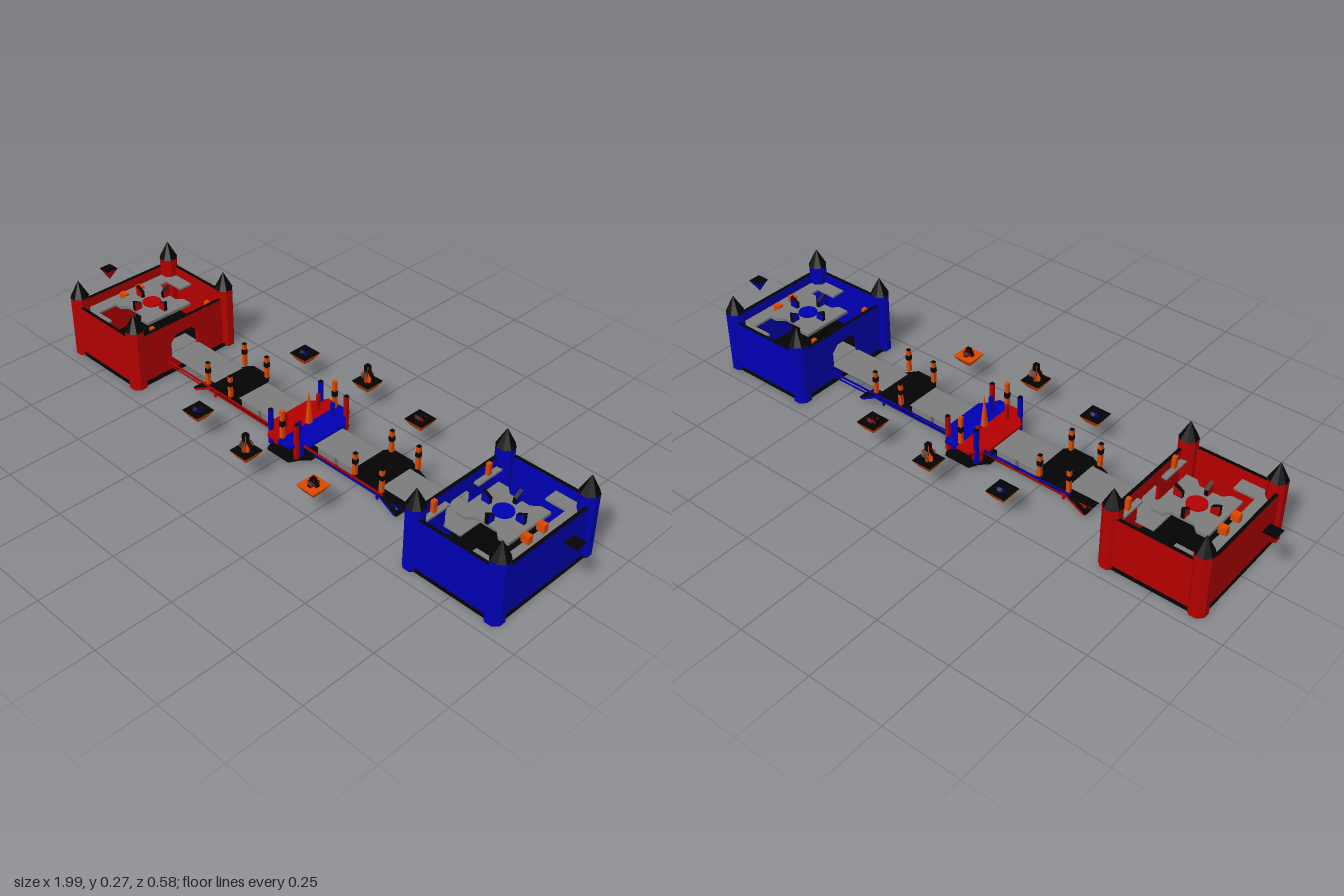
import * as THREE from 'three';

const mat = (name, color, side = THREE.FrontSide) => {
  const m = new THREE.MeshStandardMaterial({ color, side });
  m.name = name;
  return m;
};

export function createModel() {
  const red = mat('red', 0xb40000), blue = mat('blue', 0x0000b4);
  const grey = mat('stone grey', 0x7c7c7c, THREE.DoubleSide), black = mat('black', 0x030303);
  const orange = mat('orange', 0xdc4800);

  const add = (g, name, geo, m, x = 0, y = 0, z = 0) => {
    const mesh = new THREE.Mesh(geo, m);
    mesh.name = name;
    mesh.position.set(x, y, z);
    g.add(mesh);
    return mesh;
  };
  // Box given by its extents
  const box = (g, name, m, x0, x1, y0, y1, z0, z1) =>
    add(g, name, new THREE.BoxGeometry(x1 - x0, y1 - y0, z1 - z0), m,
      (x0 + x1) / 2, (y0 + y1) / 2, (z0 + z1) / 2);
  // Faceted prism, flat sides facing the axes
  const prism = (g, name, m, rTop, rBottom, sides, x, y0, y1, z) => {
    const geo = new THREE.CylinderGeometry(rTop, rBottom, y1 - y0, sides).toNonIndexed();
    geo.rotateY(Math.PI / sides);
    geo.computeVertexNormals();
    return add(g, name, geo, m, x, (y0 + y1) / 2, z);
  };
  // Horizontal slab from an outline of [x, z] points
  const slab = (g, name, m, pts, y0, y1) => {
    const shape = new THREE.Shape(pts.map(([x, z]) => new THREE.Vector2(x, -z)));
    const geo = new THREE.ExtrudeGeometry(shape, { depth: y1 - y0, bevelEnabled: false });
    geo.rotateX(-Math.PI / 2);
    return add(g, name, geo, m, 0, y0, 0);
  };
  // Upright plate from an outline of [across, y] points, coloured faces and black edges
  const plate = (g, name, m, pts, thick, turn, x = 0, z = 0) => {
    const shape = new THREE.Shape(pts.map(([a, y]) => new THREE.Vector2(a, y)));
    const geo = new THREE.ExtrudeGeometry(shape, { depth: thick, bevelEnabled: false });
    geo.translate(0, 0, -thick / 2);
    geo.rotateY(turn);
    return add(g, name, geo, [m, black], x, 0, z);
  };

  // Floating islet: inverted pyramid with a small tower of two crossed plates
  const islet = (color, x, z, tall, top = black) => {
    const g = new THREE.Group();
    g.name = 'floatingIslet';
    const q = Math.SQRT2;
    prism(g, 'isletRock', orange, 0.035 * q, 0.019 * q, 4, 0, 0.075, 0.1, 0);
    box(g, 'isletTop', top, -0.034, 0.034, 0.1, 0.102, -0.034, 0.034);
    const right = tall
      ? [[0.014, 0.102], [0.023, 0.112], [0.023, 0.124], [0.009, 0.138], [0.009, 0.16]]
      : [[0.018, 0.102], [0.018, 0.108], [0.008, 0.114], [0.008, 0.126]];
    const outline = [...right, ...right.map(([a, y]) => [-a, y]).reverse()];
    for (const turn of [0, Math.PI / 2]) plate(g, 'isletTower', color, outline, 0.014, turn);
    if (tall) {
      box(g, 'isletWindows', black, -0.008, 0.008, 0.122, 0.136, -0.008, 0.008);
    }
    g.position.set(x, 0, z);
    return g;
  };

  // Walled castle on the +x end
  const castle = (team) => {
    const g = new THREE.Group();
    g.name = 'castle';
    const cx = 0.745, wallTop = 0.183, capTop = 0.185;
    box(g, 'castleFloor', black, 0.578, 0.905, 0, 0.013, -0.205, 0.205);
    box(g, 'outerWall', team, 0.893, 0.903, 0.013, wallTop, -0.18, 0.18);
    box(g, 'outerWallCap', black, 0.893, 0.903, wallTop, capTop, -0.16, 0.16);
    box(g, 'gateWallCap', black, 0.583, 0.593, wallTop, capTop, -0.16, 0.16);
    for (const s of [-1, 1]) {
      box(g, 'sideWall', team, 0.6, 0.88, 0.013, wallTop, s * 0.198 - 0.005, s * 0.198 + 0.005);
      box(g, 'sideWallCap', black, 0.62, 0.86, wallTop, capTop, s * 0.198 - 0.005, s * 0.198 + 0.005);
      for (const x of [0.597, 0.884]) {
        prism(g, 'tower', team, 0.03, 0.03, 8, x, 0, 0.213, s * 0.187);
        prism(g, 'towerRoof', black, 0, 0.031, 8, x, 0.213, 0.272, s * 0.187);
      }
    }

    // Inner wall with an arched gate
    const wall = new THREE.Shape();
    wall.moveTo(-0.18, 0.013).lineTo(0.18, 0.013).lineTo(0.18, wallTop).lineTo(-0.18, wallTop);
    const gate = new THREE.Path();
    gate.moveTo(-0.055, 0.06).lineTo(-0.055, 0.11).lineTo(-0.03, 0.135)
      .lineTo(0.03, 0.135).lineTo(0.055, 0.11).lineTo(0.055, 0.06);
    wall.holes.push(gate);
    const wallGeo = new THREE.ExtrudeGeometry(wall, { depth: 0.01, bevelEnabled: false });
    wallGeo.rotateY(Math.PI / 2);
    add(g, 'gateWall', wallGeo, team, 0.583, 0, 0);

    // Raised court with a team disc
    const R = 0.09, c = 0.055;
    slab(g, 'court', grey, [[cx - R, -R], [cx - c, -R], [cx - c + 0.02, -R + 0.02],
      [cx + c - 0.02, -R + 0.02], [cx + c, -R], [cx + R, -R], [cx + R, R], [cx + c, R],
      [cx + c - 0.02, R - 0.02], [cx - c + 0.02, R - 0.02], [cx - c, R], [cx - R, R]], 0.16, 0.17);
    prism(g, 'courtDisc', team, 0.031, 0.031, 16, cx, 0.17, 0.176, 0);
    box(g, 'courtSupport', black, cx - 0.04, cx + 0.04, 0.013, 0.16, -0.04, 0.04);
    box(g, 'gateRamp', grey, 0.593, cx - R, 0.06, 0.065, -0.06, 0.06);

    // Walkway along the outer wall, turning in at both corners
    box(g, 'outerWalk', grey, 0.845, 0.893, 0.143, 0.15, -0.193, 0.193);
    for (const s of [-1, 1]) {
      box(g, 'cornerWalk', grey, 0.775, 0.845, 0.143, 0.15, s * 0.169 - 0.024, s * 0.169 + 0.024);
      box(g, 'gateWalk', grey, 0.593, 0.612, 0.143, 0.15, s * 0.12 - 0.06, s * 0.12 + 0.06);
      box(g, 'gateMarker', orange, 0.593, 0.606, 0.15, 0.19, s * 0.115 - 0.007, s * 0.115 + 0.007);
      box(g, 'courtMarker', orange, 0.837, 0.863, 0.15, 0.176, s * 0.033 - 0.009, s * 0.033 + 0.009);
      // Slope-topped pillars around the disc
      const slope = [[0.045, 0.17], [0.073, 0.17], [0.073, 0.205], [0.045, 0.19]];
      for (const turn of [0, Math.PI / 2]) {
        plate(g, 'courtPillar', team, slope, 0.012, turn + (s > 0 ? Math.PI : 0), cx);
      }
    }
    // Hovering gem behind the castle
    prism(g, 'hoveringGem', team, 0.03, 0, 4, 0.975, 0.163, 0.204, 0);
    box(g, 'hoveringGemTop', black, 0.954, 0.996, 0.204, 0.206, -0.021, 0.021);
    return g;
  };

  // Half of the bridge on the +x side
  const bridge = (team, other, frontIsletTop) => {
    const g = new THREE.Group();
    g.name = 'bridgeHalf';
    const walk = add(g, 'walkway', new THREE.PlaneGeometry(0.543, 0.12), grey, 0.3215, 0.063, 0);
    walk.rotation.x = -Math.PI / 2;
    // Thin outward-facing rails, the upper one running past the middle
    const rail = (name, x0, x1, y, h, s, z) => {
      const r = add(g, name, new THREE.PlaneGeometry(x1 - x0, h), team, (x0 + x1) / 2, y, s * z);
      if (s < 0) r.rotation.y = Math.PI;
    };
    rail('upperRail', -0.39, 0.57, 0.067, 0.01, -1, 0.089);
    rail('lowerRail', 0, 0.445, 0.02, 0.008, 1, 0.056);
    rail('lowerRail', 0, 0.58, 0.018, 0.008, -1, 0.056);
    for (const [x0, x1] of [[0.09, 0.16], [0.172, 0.25]]) {
      box(g, 'bridgePier', grey, x0, x1, 0.02, 0.062, -0.05, 0.05);
    }
    box(g, 'lowerDeck', black, 0, 0.44, 0.014, 0.019, -0.055, 0.055);

    // Black lookout pad
    slab(g, 'lookoutPad', black, [[0.25, -0.065], [0.27, -0.088], [0.345, -0.088], [0.36, -0.07],
      [0.36, 0.07], [0.345, 0.088], [0.27, 0.088], [0.25, 0.065]], 0.064, 0.069);
    for (const s of [-1, 1]) {
      // Side ramp down to the low deck, with a thin outward trim
      const ramp = box(g, 'sideRamp', black, -0.052, 0.052, -0.002, 0.002, -0.008, 0.008);
      ramp.position.set(0.39, 0.043, s * 0.077);
      ramp.rotation.z = -0.51;
      const trim = add(g, 'sideRampTrim', new THREE.PlaneGeometry(0.104, 0.008), team, 0.39, 0.042, s * 0.0855);
      trim.rotation.set(0, s < 0 ? Math.PI : 0, s < 0 ? 0.51 : -0.51);
      box(g, 'rampFoot', black, 0.428, 0.442, 0.016, 0.022, s * 0.067 - 0.018, s * 0.067 + 0.018);
      box(g, 'padLeg', team, 0.35, 0.356, 0.02, 0.064, s * 0.07 - 0.003, s * 0.07 + 0.003);
      for (const x of [0.27, 0.375]) {
        box(g, 'bridgePost', orange, x - 0.006, x + 0.006, 0.064, 0.144, s * 0.077 - 0.006, s * 0.077 + 0.006);
        box(g, 'bridgePostBand', black, x - 0.007, x + 0.007, 0.108, 0.125, s * 0.077 - 0.007, s * 0.077 + 0.007);
        box(g, 'bridgePostCap', black, x - 0.006, x + 0.006, 0.144, 0.146, s * 0.077 - 0.006, s * 0.077 + 0.006);
      }
    }

    // Half of the central platform
    const half = [[0, -0.13], [0.045, -0.13], [0.06, -0.1], [0.085, -0.075],
      [0.085, 0.075], [0.06, 0.1], [0.045, 0.13], [0, 0.13]];
    slab(g, 'centreDeck', team, half, 0.062, 0.072);
    slab(g, 'centreBase', black, half, 0.012, 0.02);
    for (const s of [-1, 1]) {
      box(g, 'centreLeg', team, 0.035, 0.06, 0.02, 0.062, s * 0.09 - 0.01, s * 0.09 + 0.01);
      box(g, 'centrePost', other, 0.049, 0.061, 0.02, 0.144, s * 0.105 - 0.006, s * 0.105 + 0.006);
      box(g, 'centrePostCap', black, 0.049, 0.061, 0.144, 0.146, s * 0.105 - 0.006, s * 0.105 + 0.006);
      box(g, 'innerPost', team, 0.026, 0.036, 0.072, 0.125, s * 0.07 - 0.005, s * 0.07 + 0.005);
    }
    box(g, 'centreSpire', orange, -0.006, 0.006, 0.072, 0.17, 0.104, 0.116);
    box(g, 'centreSpireBand', black, -0.007, 0.007, 0.115, 0.135, 0.103, 0.117);

    // Floating islets beside the bridge
    g.add(islet(other, 0.25, 0.225, false, frontIsletTop),
      islet(other, 0.25, -0.225, false), islet(orange, 0, 0.255, true));
    return g;
  };

  // Two opposite halves, turned half a circle apart
  const model = new THREE.Group();
  model.name = 'twinCastleArena';
  [[blue, red, orange], [red, blue, black]].forEach(([team, other, isletTop], i) => {
    const side = new THREE.Group();
    side.name = i ? 'redSide' : 'blueSide';
    side.add(castle(team), bridge(team, other, isletTop));
    side.rotation.y = i * Math.PI;
    model.add(side);
  });
  prism(model, 'centreNeedle', orange, 0, 0.012, 4, 0, 0.072, 0.19, 0);
  return model;
}
